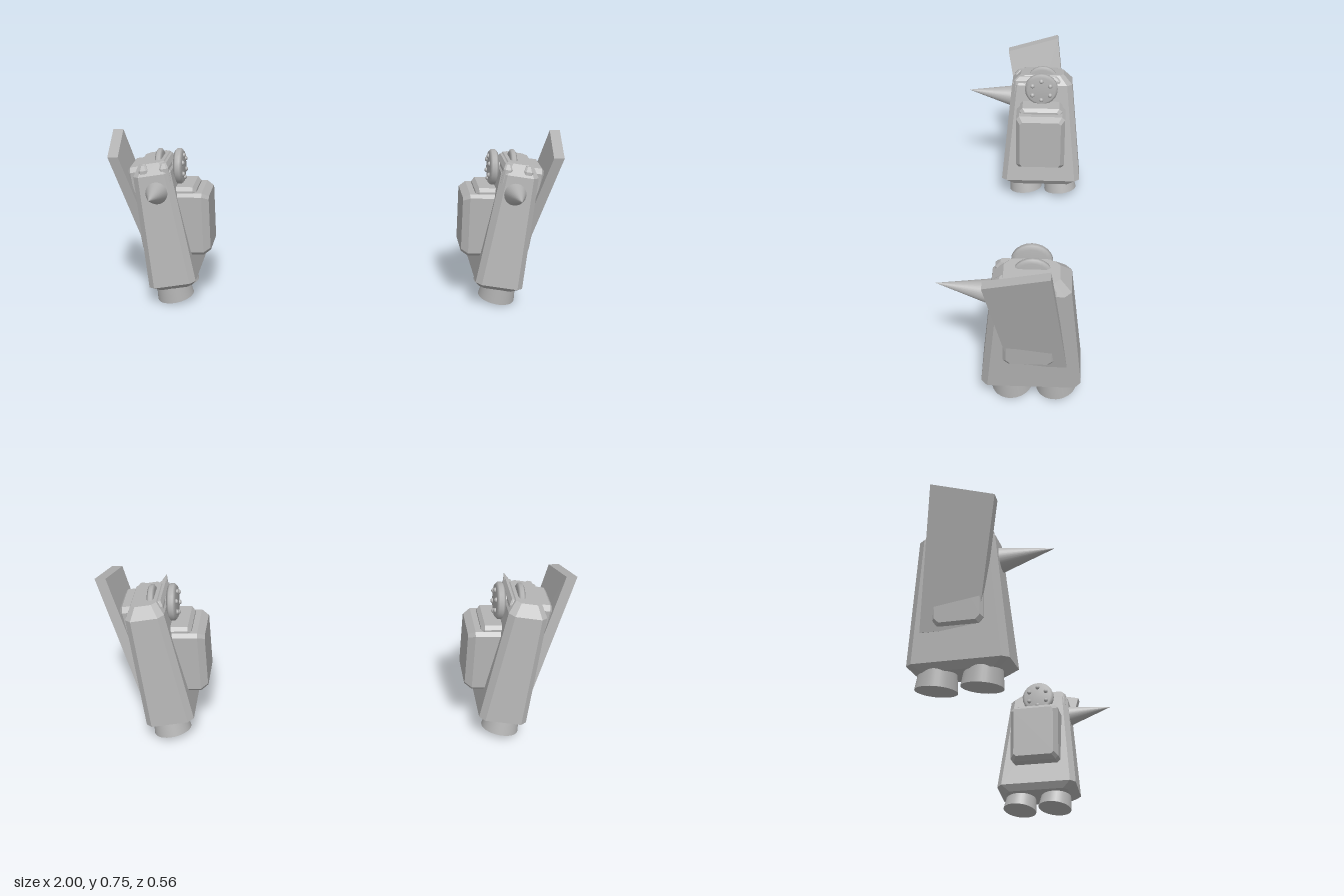
import * as THREE from 'three';

const grey = new THREE.MeshStandardMaterial({ color: 0xb4b4b4 });
grey.name = 'plain grey';

// Skin closed rings from bottom to top and cap both ends, with flat faces
function loft(rings) {
  const pos = [];
  const tri = (a, b, c) => pos.push(...a, ...b, ...c);
  const n = rings[0].length;
  for (let r = 0; r < rings.length - 1; r++) {
    const a = rings[r], b = rings[r + 1];
    for (let i = 0; i < n; i++) {
      const j = (i + 1) % n;
      tri(a[i], a[j], b[j]);
      tri(a[i], b[j], b[i]);
    }
  }
  const low = rings[0], top = rings[rings.length - 1];
  for (let i = 1; i < n - 1; i++) {
    tri(low[0], low[i + 1], low[i]);
    tri(top[0], top[i], top[i + 1]);
  }
  const g = new THREE.BufferGeometry();
  g.setAttribute('position', new THREE.Float32BufferAttribute(pos, 3));
  g.computeVertexNormals();
  return g;
}

// Block with chamfered corners; each level is [y, half x, half z, chamfer]
function block(levels) {
  return loft(levels.map(([y, x, z, c]) => [
    [-x + c, y, z], [x - c, y, z], [x, y, z - c], [x, y, -z + c],
    [x - c, y, -z], [-x + c, y, -z], [-x, y, -z + c], [-x, y, z - c],
  ]));
}

// Wheel lying across x, with softened rims
function wheelGeometry(r, half) {
  const profile = [[0, -half], [r * 0.85, -half], [r, -half * 0.45],
    [r, half * 0.45], [r * 0.85, half], [0, half]];
  return new THREE.LatheGeometry(profile.map(p => new THREE.Vector2(...p)), 24).rotateZ(Math.PI / 2);
}

function createUnit(s, name) {
  const unit = new THREE.Group();
  unit.name = name;
  const add = (part, geometry, x, y, z, rz = 0, rx = 0) => {
    const m = new THREE.Mesh(geometry, grey);
    m.name = part;
    m.position.set(s * x, y, z);
    m.rotation.set(rx, 0, s * rz);
    unit.add(m);
    return m;
  };

  // Leaning, tapered body
  add('body', block([
    [-0.028, 0.08, 0.155, 0.02], [0, 0.105, 0.197, 0.025],
    [0.5, 0.083, 0.148, 0.025], [0.545, 0.055, 0.105, 0.02],
  ]), 0.727, 0.107, -0.083, -0.148);

  // Ridges along the crown
  for (const [x, y] of [[0.745, 0.615], [0.835, 0.605]])
    add('crownRidge', block([
      [-0.05, 0.022, 0.12, 0.008], [0.015, 0.02, 0.115, 0.008], [0.035, 0.012, 0.095, 0.006],
    ]), x, y, -0.06, -0.148);

  // Two flared feet
  for (const z of [0, -0.177])
    add('foot', new THREE.CylinderGeometry(0.068, 0.082, 0.11, 32), 0.738, 0.072, z, -0.14, 0.11);

  // Horn pointing forward
  const tip = new THREE.Vector3(s * 0.775, 0.555, 0.28);
  const base = new THREE.Vector3(s * 0.78, 0.521, 0.04);
  const axis = tip.clone().sub(base);
  const horn = add('horn', new THREE.ConeGeometry(0.056, axis.length(), 32), 0, 0, 0);
  horn.position.copy(base).addScaledVector(axis, 0.5);
  horn.quaternion.setFromUnitVectors(new THREE.Vector3(0, 1, 0), axis.normalize());

  // Pack on the inner side with a stepped mount behind it
  add('pack', block([
    [0, 0.143, 0.12, 0.015], [0.125, 0.143, 0.12, 0.015], [0.155, 0.125, 0.1, 0.012],
  ]), 0.715, 0.368, -0.08, Math.PI / 2);
  add('packMount', block([
    [0, 0.155, 0.105, 0.015], [0.12, 0.155, 0.105, 0.015], [0.135, 0.14, 0.09, 0.012],
  ]), 0.75, 0.38, -0.08, Math.PI / 2);

  // Studded wheel, axle and second wheel sunk in the crown
  add('studdedWheel', wheelGeometry(0.08, 0.019), 0.697, 0.607, -0.08);
  add('crownWheel', wheelGeometry(0.078, 0.015), 0.783, 0.607, -0.085);
  add('axle', new THREE.CylinderGeometry(0.025, 0.025, 0.09, 16), 0.74, 0.607, -0.08, Math.PI / 2);
  for (let i = 0; i < 6; i++) {
    const a = i * Math.PI / 3;
    add('stud', new THREE.SphereGeometry(0.011, 10, 8),
      0.678, 0.607 + 0.05 * Math.cos(a), -0.08 + 0.05 * Math.sin(a));
  }

  // Outer side panel between body and wing
  add('sidePanel', block([
    [0, 0.2, 0.1, 0.02], [0.04, 0.2, 0.1, 0.02], [0.052, 0.188, 0.088, 0.018],
  ]), 0.835, 0.43, -0.075, -Math.PI / 2 - 0.135);

  // Flat wing leaning outward, as inner and outer corners
  const ring = (front, back, t) => {
    const pts = [[front[0] - t, front[1], front[2]], front, back, [back[0] - t, back[1], back[2]]]
      .map(([x, y, z]) => [s * x, y, z]);
    return s > 0 ? pts : pts.reverse();
  };
  add('wing', loft([
    ring([0.84, 0.21, 0], [0.845, 0.21, -0.222], 0.045),
    ring([0.978, 0.692, 0.091], [1.0, 0.757, -0.155], 0.045),
  ]), 0, 0, 0);
  return unit;
}

export function createModel() {
  const model = new THREE.Group();
  model.name = 'mirroredPair';
  model.add(createUnit(1, 'leftUnit'), createUnit(-1, 'rightUnit'));
  return model;
}
